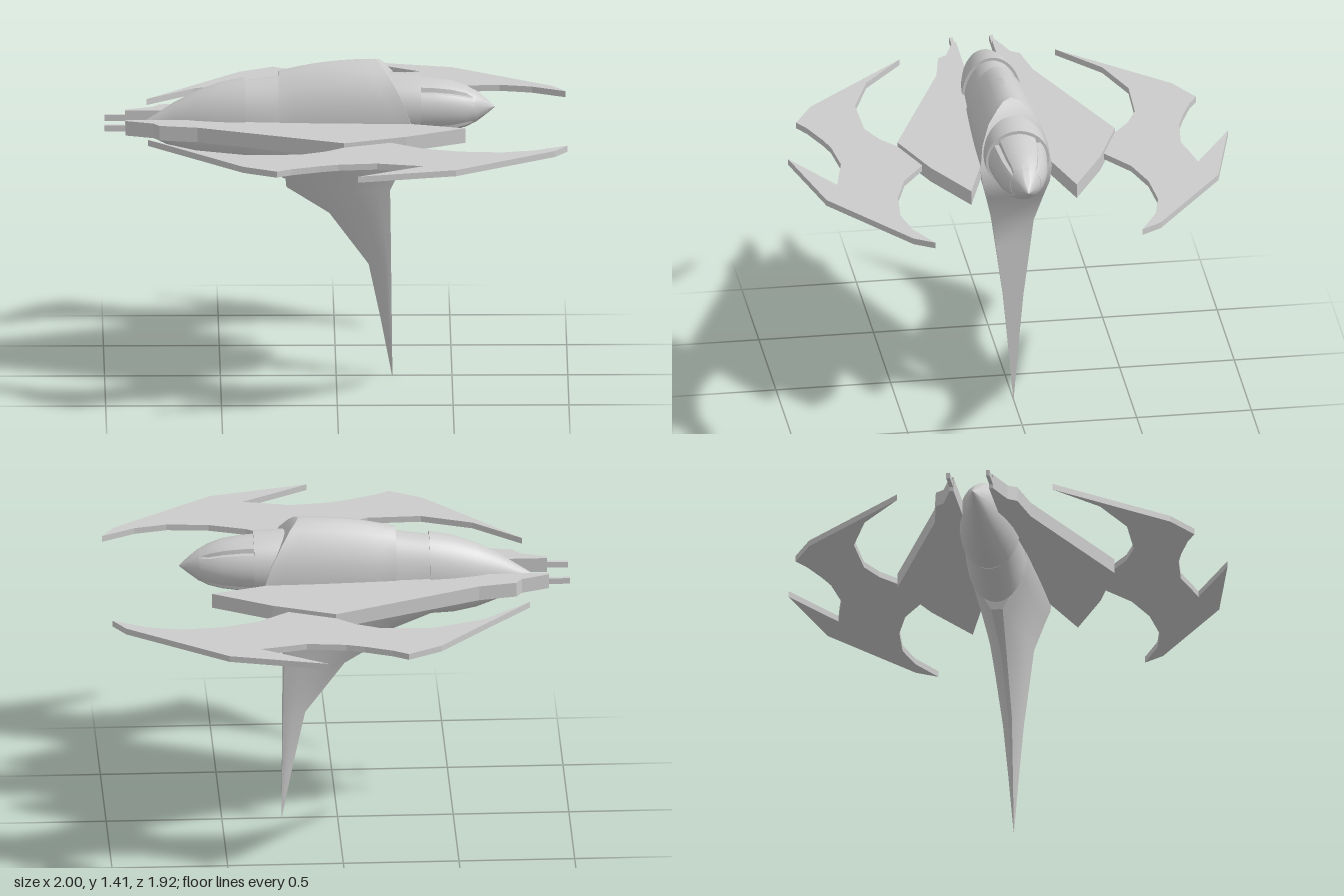
import * as THREE from 'three';
import { toCreasedNormals } from 'three/addons/utils/BufferGeometryUtils.js';

const material = new THREE.MeshStandardMaterial({ color: 0xcccccc });

function add(parent, name, geometry) {
  const mesh = new THREE.Mesh(geometry, material);
  mesh.name = name;
  parent.add(mesh);
  return mesh;
}

// Skin a list of equal-length closed rings and cap both ends
function loft(rings, crease = 0.6) {
  const pos = [];
  const tri = (a, b, c) => pos.push(...a, ...b, ...c);
  const n = rings[0].length;
  const centre = r => [0, 1, 2].map(k => r.reduce((s, p) => s + p[k], 0) / n);
  const first = rings[0], last = rings[rings.length - 1];
  const c0 = centre(first), c1 = centre(last);
  for (let j = 0; j < n; j++) {
    const k = (j + 1) % n;
    for (let i = 0; i + 1 < rings.length; i++) {
      const [a, b, c, d] = [rings[i][j], rings[i][k], rings[i + 1][k], rings[i + 1][j]];
      tri(a, b, c);
      tri(a, c, d);
    }
    tri(c0, first[k], first[j]);
    tri(c1, last[j], last[k]);
  }
  const g = new THREE.BufferGeometry();
  g.setAttribute('position', new THREE.Float32BufferAttribute(pos, 3));
  return toCreasedNormals(g, crease);
}

// Elliptical body along x; each section is [x, centreY, radiusY, radiusZ, grooveDepth]
function pod(sections) {
  const n = 48;
  return loft(sections.map(([x, cy, ry, rz, groove = 0]) =>
    Array.from({ length: n }, (_, j) => {
      const a = j / n * Math.PI * 2;
      const s = j % 12 === 6 ? 1 - groove : 1;
      return [x, cy + ry * s * Math.cos(a), rz * s * Math.sin(a)];
    })));
}

// Flat plate cut from an (x, z) outline, mirrored when side is -1
function plate(outline, y0, y1, side) {
  const shape = new THREE.Shape(outline.map(([x, z]) => new THREE.Vector2(x, z * side)));
  const g = new THREE.ExtrudeGeometry(shape, { depth: y1 - y0, bevelEnabled: false });
  return g.rotateX(Math.PI / 2).translate(0, y1, 0);
}

// Hull and keel fin rows from top to tip: [y, rearX, frontX, rearHalfWidth, frontHalfWidth]
const hullRows = [
  [1.415, -0.25, 0.17, 0, 0],
  [1.405, -0.25, 0.185, 0.03, 0.035],
  [1.38, -0.25, 0.21, 0.055, 0.065],
  [1.33, -0.25, 0.245, 0.09, 0.108],
  [1.25, -0.25, 0.29, 0.12, 0.142],
  [1.15, -0.245, 0.325, 0.135, 0.156],
  [1.08, -0.24, 0.33, 0.13, 0.146],
  [1.0, -0.23, 0.298, 0.11, 0.124],
  [0.85, -0.215, 0.232, 0.025, 0.09],
  [0.73, -0.03, 0.234, 0.012, 0.075],
  [0.5, 0.14, 0.237, 0.008, 0.045],
  [0.25, 0.193, 0.24, 0.004, 0.022],
  [0, 0.241, 0.243, 0, 0.001],
];

function hullGeometry() {
  const steps = 8;
  return loft(hullRows.map(([y, xr, xf, wr, wf]) => {
    const half = [];
    for (let i = steps; i >= 0; i--) {
      const t = i / steps, ease = Math.sin(t * Math.PI / 2);
      // the spine drops toward the rear
      const arch = y > 1.15 ? 1 - 0.2 * (1 - t) ** 2.2 : 1;
      half.push([xr + (xf - xr) * t, 1.15 + (y - 1.15) * arch, wr + (wf - wr) * ease]);
    }
    return [...half, ...half.slice().reverse().map(([x, h, z]) => [x, h, -z])];
  }));
}

const innerWing = [
  [-0.91, 0.078], [-0.91, 0.095], [-0.79, 0.14], [-0.765, 0.178], [-0.6, 0.21],
  [0.03, 0.475], [0.3, 0.37], [0.555, 0.23], [0.3, 0.15], [0, 0.08],
];

const outerWing = [
  [-0.815, 0.34], [-0.61, 0.515], [-0.39, 0.597], [-0.16, 0.59], [-0.05, 0.54],
  [0.03, 0.475], [0.23, 0.395], [0.37, 0.495], [0.53, 0.547], [0.71, 0.562],
  [0.85, 0.53], [0.995, 0.452], [0.94, 0.54], [0.51, 0.855], [0.085, 0.96],
  [0.37, 0.787], [0.28, 0.768], [0.17, 0.742], [0, 0.76], [-0.08, 0.785],
  [-0.2, 0.833], [-0.265, 0.872], [-0.41, 0.79],
];

export function createModel() {
  const model = new THREE.Group();
  model.name = 'spacecraft';

  add(model, 'hullAndKeelFin', hullGeometry());

  // Tapering rear body
  add(model, 'tailCone', pod([
    [-0.87, 1.11, 0.002, 0.002],
    [-0.78, 1.115, 0.055, 0.037],
    [-0.7, 1.122, 0.1, 0.068],
    [-0.6, 1.13, 0.145, 0.1],
    [-0.5, 1.138, 0.173, 0.12],
    [-0.395, 1.146, 0.186, 0.13],
  ]));
  add(model, 'rearNeck', pod([
    [-0.4, 1.138, 0.18, 0.12],
    [-0.22, 1.113, 0.23, 0.132],
  ]));

  // Collar, cockpit with window grooves, pointed nose
  add(model, 'collar', pod([
    [0.1, 1.2, 0.14, 0.135],
    [0.22, 1.205, 0.148, 0.142],
    [0.365, 1.208, 0.138, 0.138],
  ]));
  add(model, 'cockpit', pod([
    [0.34, 1.208, 0.125, 0.13, 0.1],
    [0.42, 1.208, 0.12, 0.122, 0.1],
    [0.5, 1.207, 0.108, 0.11, 0.1],
    [0.56, 1.204, 0.09, 0.09, 0.1],
    [0.6, 1.203, 0.068, 0.068, 0],
  ]));
  add(model, 'noseCone', pod([
    [0.59, 1.203, 0.074, 0.072],
    [0.605, 1.203, 0.067, 0.063],
    [0.65, 1.202, 0.032, 0.03],
    [0.686, 1.2, 0.001, 0.001],
  ]));

  // Mirrored wings and tail rails
  for (const [label, side] of [['left', 1], ['right', -1]]) {
    const wing = new THREE.Group();
    wing.name = label + 'Wing';
    add(wing, label + 'InnerWing', plate(innerWing, 1.1, 1.165, side));
    add(wing, label + 'OuterWing', plate(outerWing, 1.119, 1.146, side));
    add(wing, label + 'TailRail', new THREE.BoxGeometry(0.2, 0.026, 0.016))
      .position.set(-0.9, 1.132, 0.087 * side);
    model.add(wing);
  }
  return model;
}
